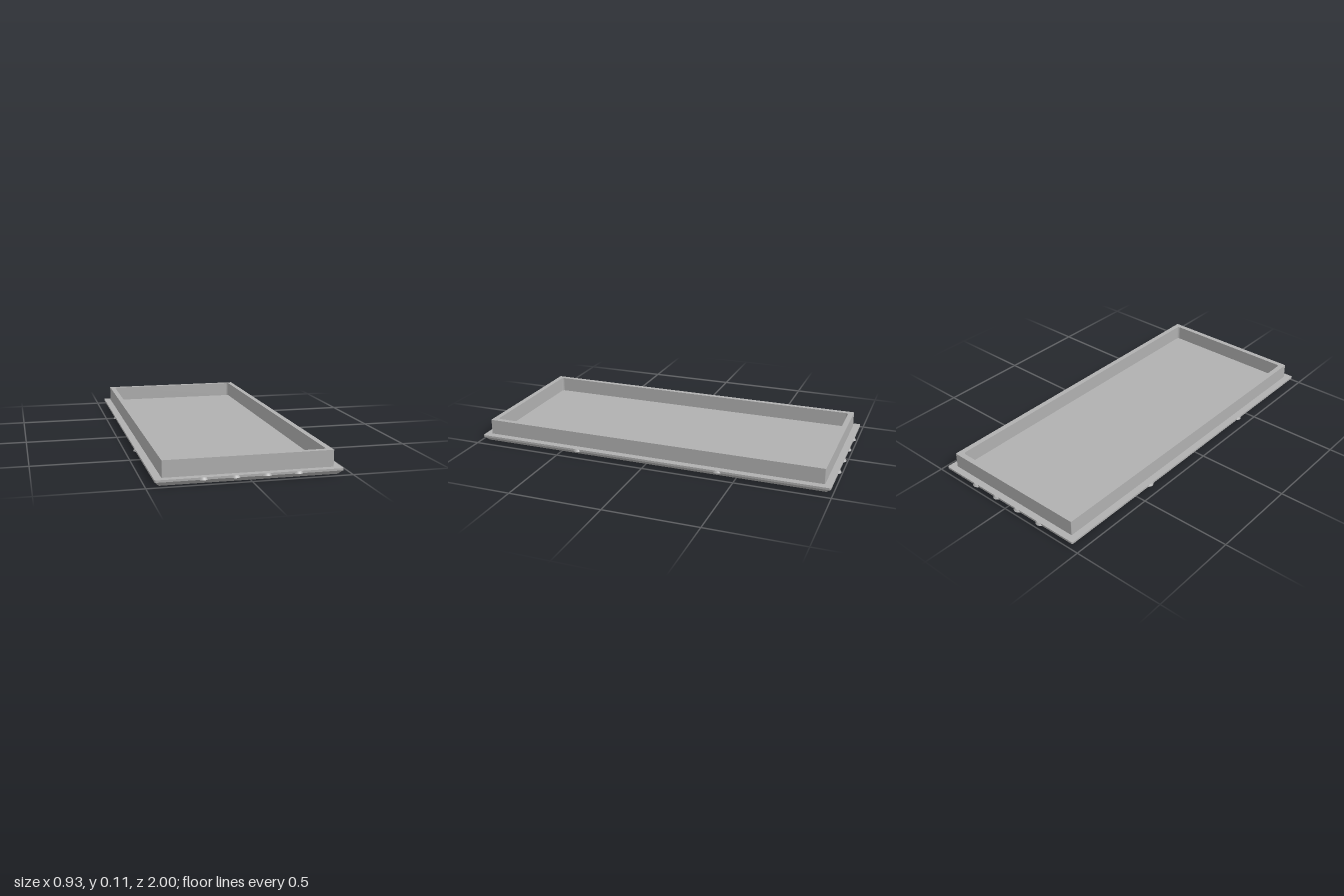
import * as THREE from 'three';

// Rectangle with rounded corners, given by half sizes
function roundedRect(hx, hz, r, Type = THREE.Shape) {
  const s = new Type();
  s.moveTo(hx, -hz + r);
  s.lineTo(hx, hz - r);
  s.absarc(hx - r, hz - r, r, 0, Math.PI / 2);
  s.lineTo(-hx + r, hz);
  s.absarc(-hx + r, hz - r, r, Math.PI / 2, Math.PI);
  s.lineTo(-hx, -hz + r);
  s.absarc(-hx + r, -hz + r, r, Math.PI, Math.PI * 1.5);
  s.lineTo(hx - r, -hz);
  s.absarc(hx - r, -hz + r, r, Math.PI * 1.5, Math.PI * 2);
  return s;
}

// Extrude a plan outline upwards from y0 to y1
function slab(shape, y0, y1) {
  const g = new THREE.ExtrudeGeometry(shape, { depth: y1 - y0, bevelEnabled: false, curveSegments: 6 });
  return g.rotateX(-Math.PI / 2).translate(0, y0, 0);
}

export function createModel() {
  const group = new THREE.Group();
  const grey = new THREE.MeshStandardMaterial({ color: 0xb0b0b0 });
  grey.name = 'grey plastic';

  const add = (name, geometry, parent = group) => {
    const mesh = new THREE.Mesh(geometry, grey);
    mesh.name = name;
    parent.add(mesh);
    return mesh;
  };

  const HX = 0.457, HZ = 0.988, LIP = 0.021, TOP = 0.032, BEVEL = 0.02;

  // Chamfered underside: bottom outline pulled inwards
  const under = slab(roundedRect(HX, HZ, 0.008), 0, LIP);
  const p = under.attributes.position;
  for (let i = 0; i < p.count; i++) {
    if (p.getY(i) < LIP / 2) {
      p.setX(i, p.getX(i) - Math.sign(p.getX(i)) * BEVEL);
      p.setZ(i, p.getZ(i) - Math.sign(p.getZ(i)) * BEVEL);
    }
  }
  under.computeVertexNormals();
  add('chamferedBase', under);

  // Flat flange, which is also the floor of the tray
  add('flange', slab(roundedRect(HX, HZ, 0.008), LIP, TOP));

  // Upright rim with rounded inner corners
  const rim = roundedRect(0.419, 0.952, 0.003);
  rim.holes.push(roundedRect(0.39, 0.923, 0.015, THREE.Path));
  add('rim', slab(rim, TOP, 0.115));

  // Small tapered snap bumps around the flange edge
  const bumps = new THREE.Group();
  bumps.name = 'snapBumps';
  group.add(bumps);
  const bump = new THREE.CylinderGeometry(0.019, 0.026, TOP - LIP, 32);
  const y = (TOP + LIP) / 2, inset = 0.014;
  for (const side of [-1, 1]) {
    for (const x of [-0.23, -0.076, 0.076, 0.23]) {
      add('endBump', bump, bumps).position.set(x, y, side * (HZ - inset));
    }
    for (const z of [-0.4, 0.4]) {
      add('sideBump', bump, bumps).position.set(side * (HX - inset - 0.002), y, z);
    }
  }
  return group;
}
